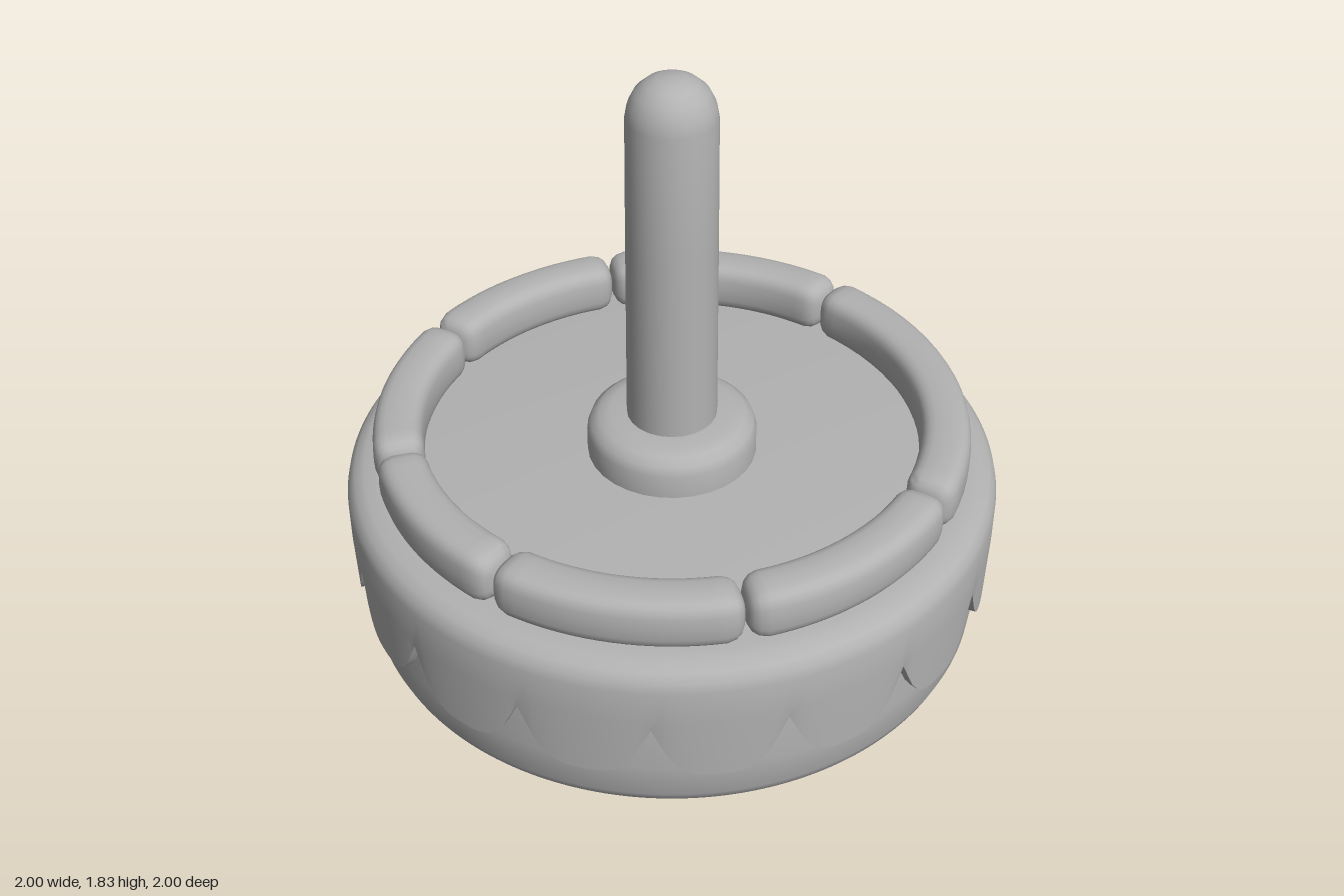
import * as THREE from 'three';
import { mergeVertices, toCreasedNormals } from 'three/addons/utils/BufferGeometryUtils.js';

const DEG = Math.PI / 180;
const SCALLOPS = 16, PHASE = 4.6 * DEG;

// Surface over angles (measured from +z towards +x) and rows; at(angle, row, column) gives [radius, y]
function sweep(angles, rows, at, crease = 0.7) {
  const pos = [], index = [], n = angles.length;
  for (let j = 0; j < rows; j++) {
    angles.forEach((a, i) => {
      const [r, y] = at(a, j, i);
      pos.push(r * Math.sin(a), y, r * Math.cos(a));
    });
  }
  for (let j = 0; j < rows - 1; j++) {
    for (let i = 0; i < n - 1; i++) {
      const a = j * n + i, b = a + 1, c = a + n, d = c + 1;
      index.push(a, b, d, a, d, c);
    }
  }
  const g = new THREE.BufferGeometry();
  g.setAttribute('position', new THREE.Float32BufferAttribute(pos, 3));
  g.setIndex(index);
  return toCreasedNormals(mergeVertices(g, 1e-5), crease);
}

const range = (from, to, n) => Array.from({ length: n + 1 }, (_, i) => from + (to - from) * i / n);

// Hanging edge of the icing: round lobes with pointed gaps between them
function scallopY(a) {
  const u = (a - PHASE) / (2 * Math.PI) * SCALLOPS;
  const t = Math.abs((u - Math.floor(u)) * 2 - 1);
  return 0.165 + 0.18 * Math.pow(Math.min(1, t * 1.03), 3.4);
}

export function createModel() {
  const grey = new THREE.MeshStandardMaterial({ color: 0xb2b2b2 });
  grey.name = 'plain grey';
  const model = new THREE.Group();
  model.name = 'cake';
  const add = (name, geometry, parent = model) => {
    const m = new THREE.Mesh(geometry, grey);
    m.name = name;
    parent.add(m);
    return m;
  };
  const around = range(PHASE, PHASE + 2 * Math.PI, SCALLOPS * 16);

  // Cake body, with two recesses cut into its back left side
  const recesses = [[113, 137], [150, 169]];
  const recessed = a => {
    const d = (a / DEG) % 360;
    return recesses.some(([from, to]) => d > from && d < to);
  };
  const body = [[0, 0.005], [0.93, 0.005], [0.945, 0.02], [0.957, 0.05],
    [0.957, 0.05], [0.97, 0.17], [0.955, 0.37], [0.955, 0.37]];
  add('cakeBody', sweep(around, body.length, (a, j) => {
    const [r, y] = body[j];
    return [recessed(a) && j >= 4 && j <= 6 ? 0.8 : r, y];
  }));

  // Icing cap with a thick scalloped lip
  const cap = [[0.945, 0], [0.993, 0], [1, 0.38], [1, 0.49], [0.993, 0.52],
    [0.975, 0.545], [0.945, 0.56], [0.9, 0.565], [0, 0.565]];
  add('icing', sweep(around, cap.length, (a, j) => [cap[j][0], j < 2 ? scallopY(a) : cap[j][1]]));

  // Ring of seven piped rolls with rounded ends
  const rim = new THREE.Group();
  rim.name = 'rim';
  model.add(rim);
  const joints = [-135.5, -90, -49, -1, 47.5, 127, 180, 224.5];
  const round = v => Math.sign(v) * Math.pow(Math.abs(v), 0.6);
  const caps = [[0, 0], [0, 0.55], [0.012, 0.78], [0.03, 0.92], [0.06, 1]];
  for (let k = 0; k < joints.length - 1; k++) {
    const from = joints[k] * DEG + 0.006, to = joints[k + 1] * DEG - 0.006;
    const angles = [...caps.map(c => from + c[0]), ...range(from + 0.1, to - 0.1, 16),
      ...caps.map(c => to - c[0]).reverse()];
    const sizes = [...caps.map(c => c[1]), ...Array(17).fill(1), ...caps.map(c => c[1]).reverse()];
    add('rimRoll', sweep(angles, 25, (a, j, i) => {
      const p = (j % 24) / 24 * 2 * Math.PI, s = sizes[i];
      return [0.833 + 0.077 * s * round(Math.cos(p)), 0.638 + 0.083 * s * round(Math.sin(p))];
    }, 0.9), rim);
  }

  // Candle holder and candle
  const lathe = (points, sides) =>
    toCreasedNormals(new THREE.LatheGeometry(points.map(p => new THREE.Vector2(...p)), sides), 0.7);
  add('candleHolder', lathe([[0.26, 0.56], [0.26, 0.64], [0.25, 0.67], [0.225, 0.69],
    [0.19, 0.7], [0.1, 0.7]], 32));
  add('candle', lathe([[0.138, 0.69], [0.135, 1.3], [0.132, 1.71], [0.125, 1.75], [0.105, 1.79],
    [0.075, 1.817], [0.045, 1.83], [0, 1.834]], 24));
  return model;
}
